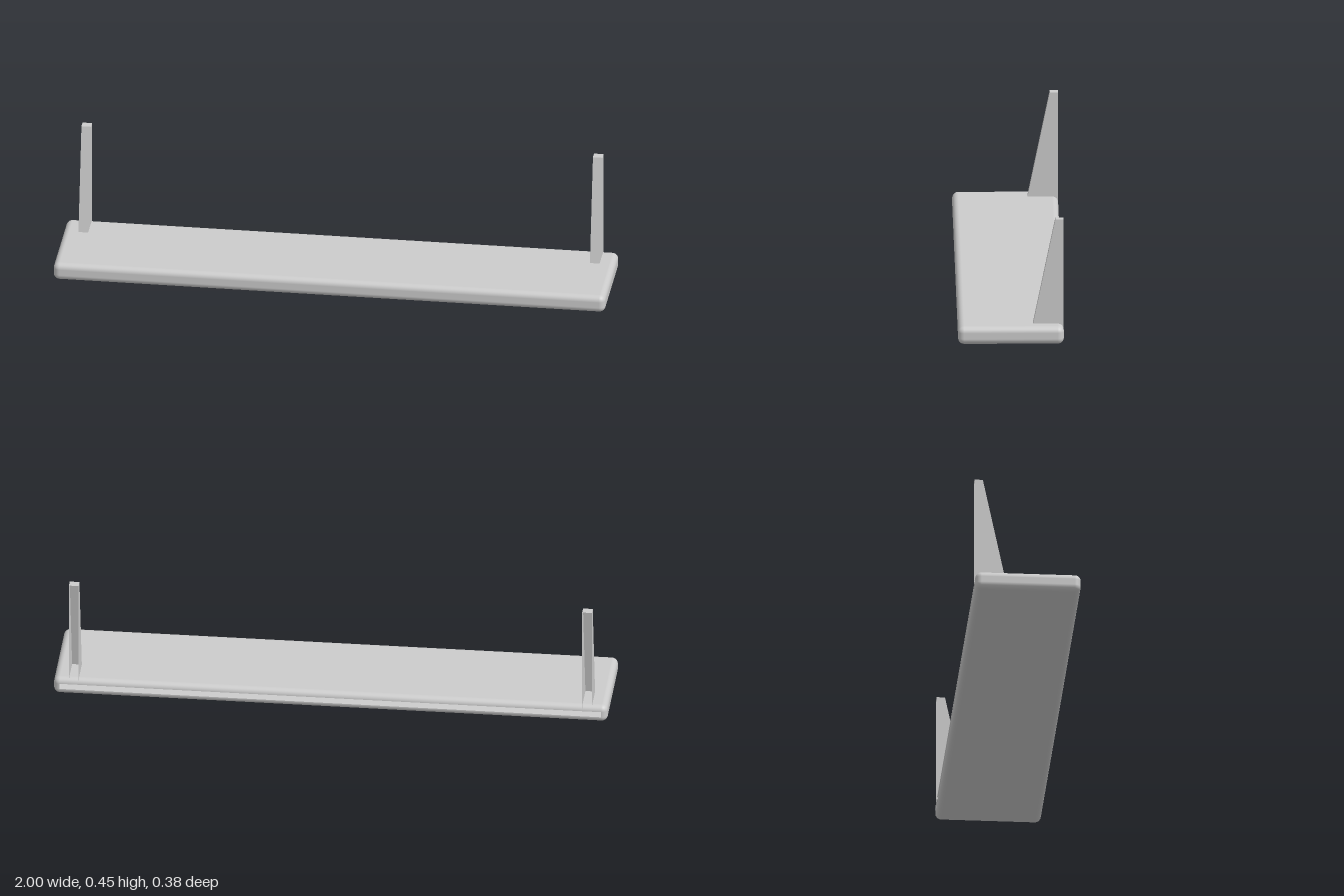
import * as THREE from 'three';
import { RoundedBoxGeometry } from 'three/addons/geometries/RoundedBoxGeometry.js';

const BACK = -0.19;

// Removes the triangles lying flat in the back plane, leaving an open back
function openBack(source) {
  const geometry = source.index ? source.toNonIndexed() : source;
  geometry.clearGroups();
  const pos = geometry.attributes.position;
  const kept = [];
  for (let i = 0; i < pos.count; i += 3) {
    const flat = [i, i + 1, i + 2].every((k) => pos.getZ(k) < BACK + 1e-4);
    if (!flat) kept.push(i, i + 1, i + 2);
  }
  geometry.setIndex(kept);
  return geometry;
}

// Hollow upright, upright at the back and sloping at the front
function bracketGeometry() {
  const bottom = 0.045, top = 0.45;
  const geometry = new THREE.BoxGeometry(0.035, top - bottom, 1);
  const pos = geometry.attributes.position;
  for (let i = 0; i < pos.count; i++) {
    const upper = pos.getY(i) > 0;
    const front = pos.getZ(i) > 0;
    pos.setY(i, upper ? top : bottom);
    pos.setZ(i, front ? (upper ? -0.16 : -0.076) : BACK);
  }
  const open = openBack(geometry.toNonIndexed());
  open.computeVertexNormals();
  return open;
}

export function createModel() {
  const model = new THREE.Group();
  model.name = 'wallShelf';
  const material = new THREE.MeshStandardMaterial({ color: 0xcccccc, side: THREE.DoubleSide });

  // Shelf board with rounded edges, open along the back
  const board = new THREE.Mesh(openBack(new RoundedBoxGeometry(2, 0.065, 0.38, 5, 0.022)), material);
  board.name = 'shelfBoard';
  board.position.y = 0.0325;
  model.add(board);

  // Tapered brackets at both ends
  const geometry = bracketGeometry();
  for (const side of [1, -1]) {
    const bracket = new THREE.Mesh(geometry, material);
    bracket.name = side > 0 ? 'leftBracket' : 'rightBracket';
    bracket.position.x = side * 0.927;
    model.add(bracket);
  }
  return model;
}
